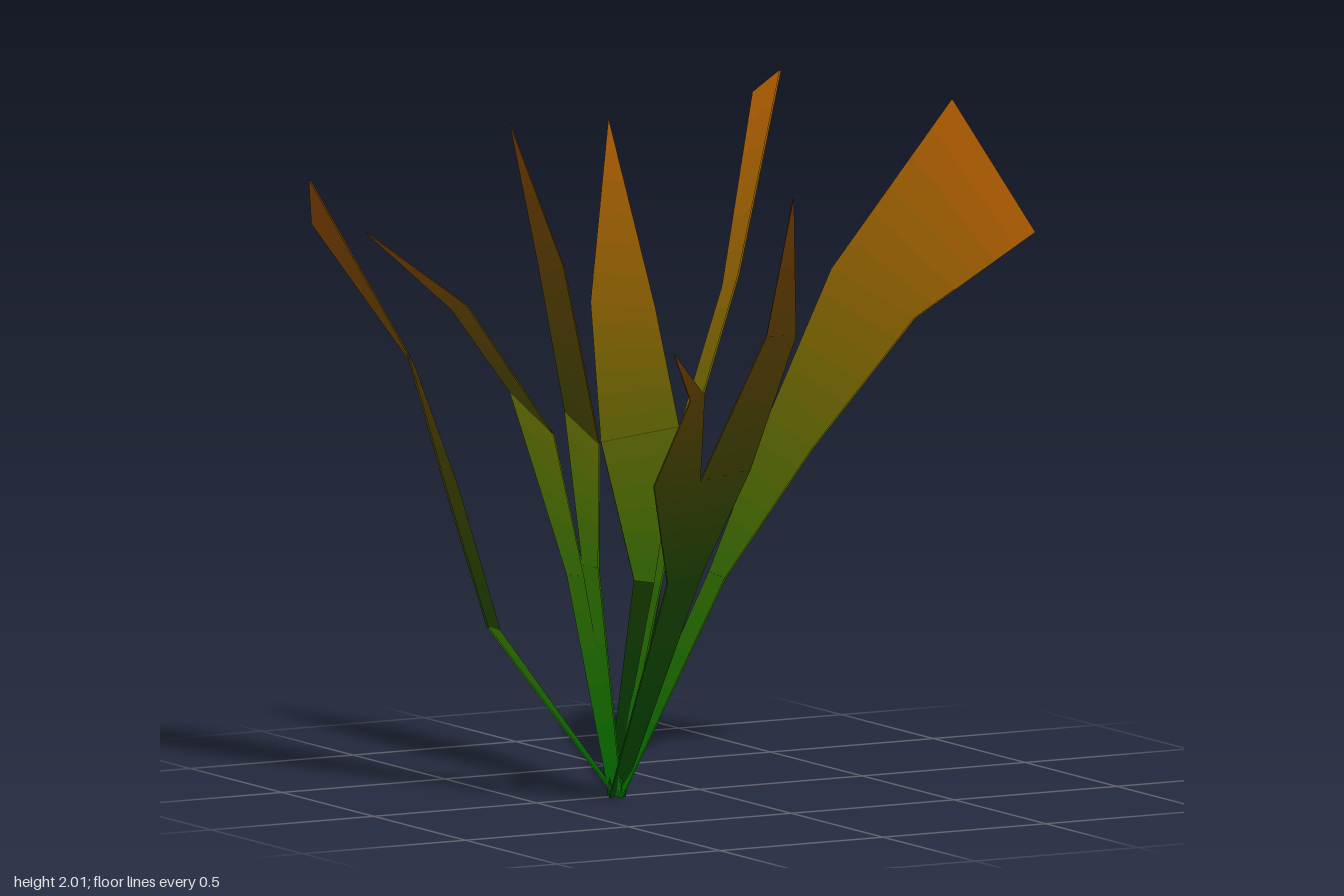
import * as THREE from 'three';

const BASE = new THREE.Vector3(-0.275, 0, 0.035);
const ROOT_RGB = [0, 106, 0];
const TIP_RGB = [188, 96, 0];
const LEVELS = 4; // cross-sections above the root
const BANDS = 6; // colour steps between two cross-sections
const HALF_THICKNESS = 0.002;
const SHADING_NORMAL = new THREE.Vector3(-0.3, 0.9, -0.3).normalize();

// one shared material per colour step, green at the root to orange at the tip
const materials = Array.from({ length: LEVELS * BANDS }, (_, i) => {
  const t = (i + 0.5) / (LEVELS * BANDS);
  const rgb = ROOT_RGB.map((c, k) => THREE.MathUtils.lerp(c, TIP_RGB[k], t) / 255);
  return new THREE.MeshStandardMaterial({
    color: new THREE.Color().setRGB(...rgb, THREE.SRGBColorSpace),
    side: THREE.DoubleSide,
  });
});

// a thin leaf through cross-sections [left edge, right edge]; a single point makes a pointed tip
function strip(name, rows, firstLevel = 0) {
  const edges = rows.map((r) => [r[0], r[1] ?? r[0]].map((p) => new THREE.Vector3(...p)));
  if (firstLevel === 0) {
    const half = edges[0][1].clone().sub(edges[0][0]).setLength(0.025);
    edges.unshift([BASE.clone().sub(half), BASE.clone().add(half)]);
  }
  const points = [];
  const geometry = new THREE.BufferGeometry();
  for (let i = 0; i < edges.length - 1; i++) {
    const [[l, r], [nextL, nextR]] = [edges[i], edges[i + 1]];
    const along = nextL.clone().add(nextR).sub(l).sub(r);
    const offset = r.clone().sub(l).cross(along).setLength(HALF_THICKNESS);
    for (let b = 0; b < BANDS; b++) {
      const [t0, t1] = [b / BANDS, (b + 1) / BANDS];
      const [l0, l1] = [t0, t1].map((t) => l.clone().lerp(nextL, t));
      const [r0, r1] = [t0, t1].map((t) => r.clone().lerp(nextR, t));
      geometry.addGroup(points.length, 12, (firstLevel + i) * BANDS + b);
      // one face, then the opposite face
      points.push(...[l0, r0, r1, l0, r1, l1].map((p) => p.clone().add(offset)));
      points.push(...[l0, r1, r0, l0, l1, r1].map((p) => p.clone().sub(offset)));
    }
  }
  geometry.setFromPoints(points);
  // foliage shading: both faces share one upward normal
  const normals = points.flatMap(() => SHADING_NORMAL.toArray());
  geometry.setAttribute('normal', new THREE.Float32BufferAttribute(normals, 3));
  const mesh = new THREE.Mesh(geometry, materials);
  mesh.name = name;
  return mesh;
}

export function createModel() {
  const plant = new THREE.Group();
  plant.name = 'leafyPlant';

  // broad leaves with blunt ends
  plant.add(strip('broadLeftLeaf', [
    [[0.03, 0.58, 0], [0.04, 0.57, 0.07]],
    [[0.27, 0.97, -0.1], [0.28, 0.91, 0.12]],
    [[0.48, 1.35, -0.13], [0.56, 1.25, 0.18]],
    [[0.72, 1.82, 0.1], [0.85, 1.48, 0.32]],
  ]));
  plant.add(strip('broadBackLeaf', [
    [[-0.55, 0.45, -0.18], [-0.46, 0.42, -0.27]],
    [[-0.62, 0.81, -0.28], [-0.46, 0.78, -0.5]],
    [[-0.68, 1.18, -0.39], [-0.49, 1.08, -0.68]],
    [[-0.86, 1.63, -0.6], [-0.66, 1.45, -0.94]],
  ]));
  plant.add(strip('tallLeaf', [
    [[-0.18, 0.57, 0.11], [-0.16, 0.57, 0.04]],
    [[-0.13, 0.97, 0.18], [-0.1, 0.95, 0.05]],
    [[-0.06, 1.43, 0.32], [-0.03, 1.38, 0.18]],
    [[-0.01, 2, 0.46], [-0.01, 1.92, 0.31]],
  ]));

  // pointed leaves
  plant.add(strip('pointedBackLeaf', [
    [[-0.19, 0.57, -0.02], [-0.12, 0.56, 0.01]],
    [[-0.19, 0.92, -0.2], [0, 0.96, -0.11]],
    [[-0.12, 1.27, -0.38], [0.04, 1.25, -0.31]],
    [[-0.02, 1.75, -0.46]],
  ]));
  plant.add(strip('pointedRightBackLeaf', [
    [[-0.39, 0.6, -0.03], [-0.37, 0.6, 0.03]],
    [[-0.48, 1.08, -0.18], [-0.43, 0.98, -0.03]],
    [[-0.65, 1.31, -0.19], [-0.63, 1.33, -0.15]],
    [[-0.83, 1.52, -0.36]],
  ]));
  plant.add(strip('pointedRightLeaf', [
    [[-0.37, 0.63, 0.02], [-0.36, 0.63, 0.09]],
    [[-0.43, 1.05, 0.03], [-0.38, 0.97, 0.13]],
    [[-0.54, 1.45, 0.085], [-0.5, 1.46, 0.15]],
    [[-0.65, 1.86, 0.12]],
  ]));

  // forked front leaf: one stem, two prongs sharing the notch
  const stemL = [-0.24, 0.6, 0.25], stemMid = [-0.18, 0.61, 0.24], stemR = [-0.12, 0.62, 0.23];
  const notch = [-0.24, 0.9, 0.43];
  const forkedLeaf = new THREE.Group();
  forkedLeaf.name = 'forkedFrontLeaf';
  forkedLeaf.add(
    strip('stem', [[stemL, stemR]]),
    strip('rightProng', [
      [stemL, stemMid],
      [[-0.4, 0.9, 0.46], notch],
      [[-0.44, 1.17, 0.73], [-0.39, 1.18, 0.72]],
      [[-0.61, 1.34, 0.94]],
    ], 1),
    strip('leftProng', [
      [stemMid, stemR],
      [notch, [-0.08, 0.92, 0.42]],
      [[-0.15, 1.31, 0.63], [-0.07, 1.31, 0.65]],
      [[-0.15, 1.71, 0.78]],
    ], 1),
  );
  plant.add(forkedLeaf);
  return plant;
}
